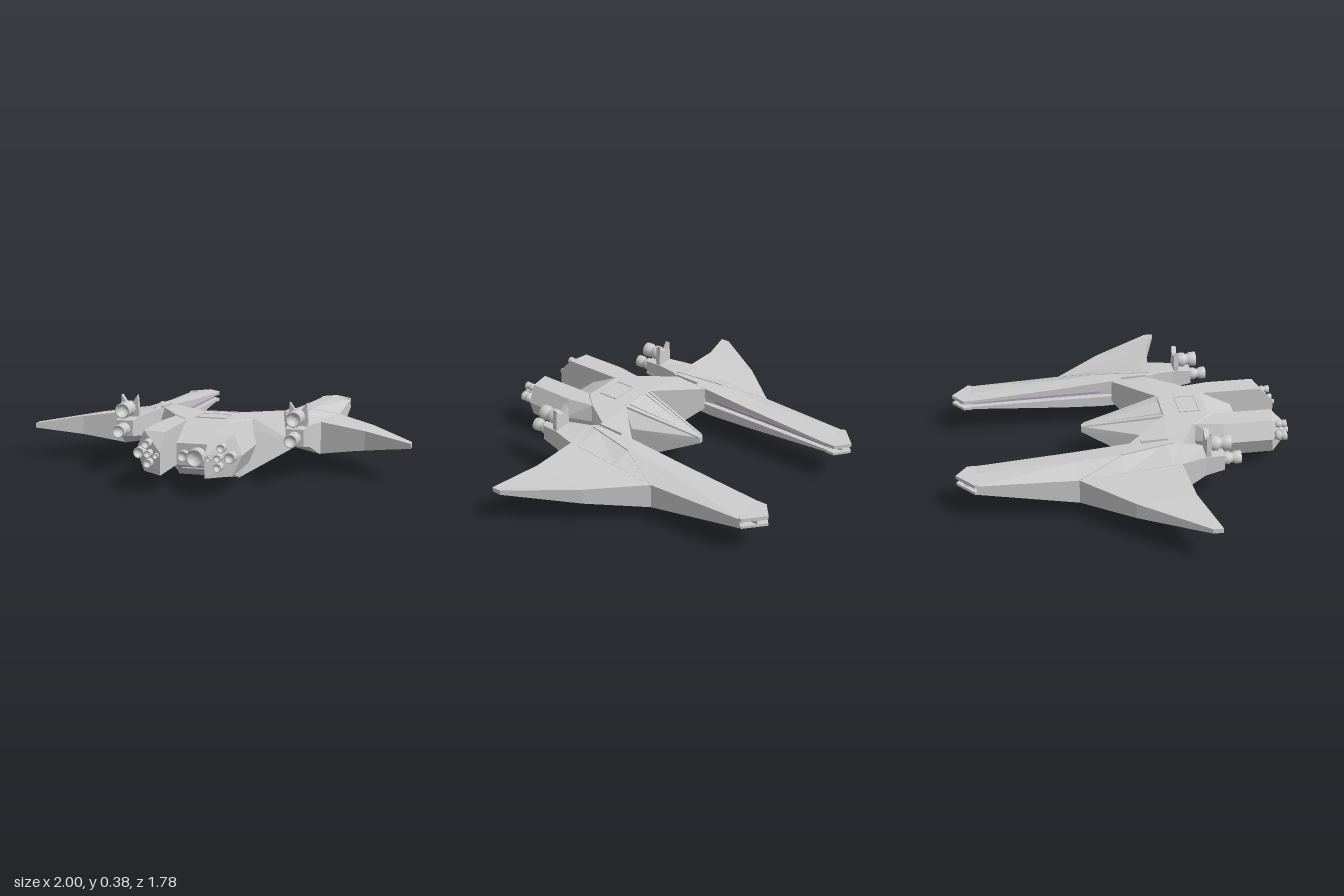
import * as THREE from 'three';
import { ConvexGeometry } from 'three/addons/geometries/ConvexGeometry.js';

const V = (p) => new THREE.Vector3(...p);
const grey = new THREE.MeshStandardMaterial({ color: 0xcccccc, flatShading: true });
const smooth = new THREE.MeshStandardMaterial({ color: 0xcccccc, side: THREE.DoubleSide });
const violet = new THREE.MeshStandardMaterial({ color: 0xb3a0c4 });

// Reverse the corner order of every triangle
function flip(geo) {
  for (const a of Object.values(geo.attributes)) {
    const n = a.itemSize, d = a.array;
    for (let t = 0; t < a.count; t += 3) {
      for (let k = 0; k < n; k++) {
        const i = (t + 1) * n + k, j = (t + 2) * n + k;
        [d[i], d[j]] = [d[j], d[i]];
      }
    }
  }
  return geo;
}

function mirrored(geo) {
  const g = geo.index ? geo.toNonIndexed() : geo.clone();
  // normals follow the reflection by themselves under scale(-1, 1, 1)
  return flip(g.scale(-1, 1, 1));
}

const hull = (pts) => new ConvexGeometry(pts.map(V));
// Convex solid symmetric about x = 0
const symHull = (pts) => hull(pts.concat(pts.map(([x, y, z]) => [-x, y, z])));

// Faceted solid through equal-length cross-sections, closed at both ends
function loft(sections) {
  const n = sections[0].length, pos = [];
  const tri = (a, b, c) => pos.push(...a, ...b, ...c);
  for (let s = 0; s + 1 < sections.length; s++) {
    const A = sections[s], B = sections[s + 1];
    for (let i = 0; i < n; i++) {
      const j = (i + 1) % n;
      tri(A[i], A[j], B[j]);
      tri(A[i], B[j], B[i]);
    }
  }
  const first = sections[0], last = sections[sections.length - 1];
  for (let i = 1; i + 1 < n; i++) {
    tri(first[0], first[i + 1], first[i]);
    tri(last[0], last[i], last[i + 1]);
  }
  let volume = 0;
  for (let i = 0; i < pos.length; i += 9) {
    const [a, b, c] = [0, 3, 6].map((k) => V(pos.slice(i + k, i + k + 3)));
    volume += a.dot(b.cross(c));
  }
  const geo = new THREE.BufferGeometry();
  geo.setAttribute('position', new THREE.Float32BufferAttribute(pos, 3));
  if (volume < 0) flip(geo);
  geo.computeVertexNormals();
  return geo;
}

// Square bar between two points
function bar(a, b, w) {
  const A = V(a), B = V(b), d = B.clone().sub(A);
  const geo = new THREE.BoxGeometry(w, w, d.length());
  const m = new THREE.Matrix4().lookAt(B, A, new THREE.Vector3(0, 1, 0));
  m.setPosition(A.add(B).multiplyScalar(0.5));
  return geo.applyMatrix4(m);
}

// Ribbed thruster bell ending at z
function nozzle(x, y, z, r, len) {
  const profile = [[0, 0], [0.8, 0], [0.8, 0.2], [1, 0.25], [1, 0.45], [0.78, 0.5], [0.78, 0.65],
    [1, 0.72], [1, 1], [0.8, 1], [0.65, 0.6], [0, 0.55]];
  const geo = new THREE.LatheGeometry(profile.map(([a, b]) => new THREE.Vector2(a * r, b * len)), 16);
  return geo.rotateX(Math.PI / 2).translate(x, y, z - len);
}

export function createModel() {
  const model = new THREE.Group();
  const add = (name, geo, mat = grey) => {
    const mesh = new THREE.Mesh(geo, mat);
    mesh.name = name;
    model.add(mesh);
  };
  const pair = (name, geo, mat) => {
    add(name + 'Left', geo, mat);
    add(name + 'Right', mirrored(geo), mat);
  };

  // Central body with sloping keel and rear deck
  add('centralHull', symHull([[0.1, 0.29, 0.22], [0.21, 0.288, 0.36], [0.12, 0.29, 0.46], [0.21, 0.19, 0.36],
    [0.155, 0.19, 0.15], [0.16, 0, 0.16], [0.16, 0, 0.45], [0.11, 0.2, 0.635], [0.11, 0.09, 0.635]]));
  pair('hullArm', hull([[0.1, 0.29, 0.22], [0.325, 0.275, 0], [0.325, 0.29, 0.19], [0.21, 0.29, 0.36],
    [0.12, 0.29, 0.46], [0.4, 0.125, 0.03], [0.4, 0.125, 0.18], [0.325, 0.15, 0],
    [0.15, 0, 0.17], [0.16, 0, 0.44], [0.12, 0.1, 0.46]]));

  // Pointed nose and canopy frame
  add('nose', symHull([[0.012, 0.205, -0.21], [0.012, 0.17, -0.21], [0.155, 0.2, 0.14],
    [0.1, 0.285, 0.225], [0.15, 0, 0.16], [0.15, 0.1, 0.2]]));
  pair('canopyRail', bar([0.012, 0.204, -0.2], [0.1, 0.285, 0.22], 0.012));
  pair('canopyRib', bar([0.004, 0.212, -0.15], [0.07, 0.287, 0.22], 0.006));
  add('canopySill', bar([-0.1, 0.287, 0.226], [0.1, 0.287, 0.226], 0.01));

  // Roof hatch and keel hatch
  add('roofHatch', new THREE.BoxGeometry(0.14, 0.006, 0.1).translate(0, 0.29, 0.365));
  for (const z of [0.312, 0.42]) add('hatchFrame', bar([-0.08, 0.291, z], [0.08, 0.291, z], 0.008));
  pair('hatchSide', bar([0.077, 0.291, 0.312], [0.077, 0.291, 0.42], 0.008));
  add('keelHatch', new THREE.BoxGeometry(0.19, 0.008, 0.13).rotateX(-0.453).translate(0, 0.042, 0.54));

  // Rear engine blocks
  pair('engineBlock', hull([[0.11, 0.285, 0.4], [0.2, 0.285, 0.37], [0.21, 0.19, 0.36], [0.16, 0.09, 0.4],
    [0.225, 0.285, 0.52], [0.265, 0.19, 0.52], [0.22, 0.09, 0.5], [0.11, 0.09, 0.45],
    [0.11, 0.285, 0.8], [0.225, 0.285, 0.78], [0.265, 0.19, 0.78], [0.22, 0.09, 0.8],
    [0.11, 0.2, 0.88], [0.11, 0.09, 0.88]]));
  for (const [x, y, z, r] of [[0.185, 0.235, 0.87, 0.021], [0.225, 0.19, 0.86, 0.027], [0.172, 0.19, 0.885, 0.018],
    [0.13, 0.185, 0.89, 0.014], [0.172, 0.145, 0.885, 0.021]]) {
    pair('blockThruster', nozzle(x, y, z, r, 0.06), smooth);
  }
  add('mainThruster', nozzle(0, 0.14, 0.69, 0.045, 0.07), smooth);
  pair('sideThruster', nozzle(0.07, 0.14, 0.665, 0.028, 0.05), smooth);

  // Long forward prongs, slotted along the inner side
  const prong = [ // z, inner/ridge/outer x, inner/ridge/outer top, inner/outer bottom, slot bottom/top, depth
    [-0.79, 0.325, 0.4, 0.5, 0.215, 0.22, 0.21, 0.165, 0.16, 0.178, 0.2, 0.03],
    [-0.28, 0.325, 0.417, 0.53, 0.252, 0.255, 0.215, 0.13, 0.08, 0.18, 0.22, 0.03],
    [-0.05, 0.325, 0.42, 0.53, 0.273, 0.275, 0.238, 0.12, 0.08, 0.18, 0.22, 0.03],
    [0.19, 0.325, 0.37, 0.53, 0.29, 0.29, 0.262, 0.13, 0.097, 0.18, 0.22, 0.002],
    [0.25, 0.36, 0.38, 0.53, 0.285, 0.285, 0.265, 0.14, 0.1, 0.18, 0.22, 0.002],
    [0.37, 0.39, 0.41, 0.5, 0.275, 0.275, 0.27, 0.17, 0.16, 0.19, 0.22, 0.002],
    [0.47, 0.4, 0.42, 0.49, 0.265, 0.265, 0.265, 0.185, 0.18, 0.2, 0.22, 0.002],
  ].map(([z, xi, xm, xo, ti, tm, to, bi, bo, g0, g1, d]) => [[xo, bo, z], [xo, to, z], [xm, tm, z], [xi, ti, z],
    [xi, g1, z], [xi + d, g1, z], [xi + d, g0, z], [xi, g0, z], [xi, bi, z]]);
  pair('prong', loft(prong));
  pair('slotStrip', bar([0.35, 0.189, -0.78], [0.35, 0.2, -0.06], 0.012), violet);
  const tipPlate = (y0, y1) => hull([y0, y1].flatMap((y) => [[0.325, y, -0.78], [0.325, y, -0.83],
    [0.4, y, -0.89], [0.5, y, -0.8], [0.5, y, -0.78]]));
  pair('tipUpperPlate', tipPlate(0.198, 0.217));
  pair('tipLowerPlate', tipPlate(0.16, 0.174));
  pair('tipCore', new THREE.BoxGeometry(0.07, 0.03, 0.08).translate(0.405, 0.186, -0.81));
  pair('prongSeam', bar([0.42, 0.275, -0.05], [0.37, 0.29, 0.22], 0.01));
  pair('prongSeam', bar([0.42, 0.274, -0.05], [0.525, 0.217, -0.27], 0.006));
  pair('shoulderLip', bar([0.335, 0.29, 0.06], [0.335, 0.294, 0.2], 0.014));

  // Swept wings: x, leading z, trailing z, leading top, trailing top, trailing bottom, leading bottom
  const wing = [[0.53, -0.28, 0.24, 0.215, 0.265, 0.1, 0.08], [0.76, -0.03, 0.268, 0.21, 0.235, 0.137, 0.126],
    [1, 0.3, 0.35, 0.2, 0.2, 0.175, 0.175]];
  pair('wing', loft(wing.map(([x, zl, zt, tl, tt, bt, bl]) =>
    [[x, tl, zl], [x, tt, zt], [x, bt, zt], [x, bl, zl]])));
  const panel = [[0.88, 0.152, 0.26], [0.61, 0.112, 0.2], [0.63, 0.1, -0.09]];
  panel.forEach((p, i) => pair('wingPanelFrame', bar(p, panel[(i + 1) % 3], 0.01)));

  // Twin thrusters and horned bracket behind each prong
  const horn = new THREE.Shape([[-0.045, 0.2], [0.045, 0.2], [0.05, 0.3], [0.043, 0.385], [0.018, 0.35],
    [-0.018, 0.35], [-0.043, 0.385], [-0.05, 0.3]].map(([x, y]) => new THREE.Vector2(x, y)));
  pair('hornBracket', new THREE.ExtrudeGeometry(horn, { depth: 0.025, bevelEnabled: false }).translate(0.445, 0, 0.37));
  pair('upperThruster', nozzle(0.445, 0.318, 0.5, 0.04, 0.12), smooth);
  pair('lowerThruster', nozzle(0.445, 0.222, 0.56, 0.034, 0.11), smooth);
  return model;
}
